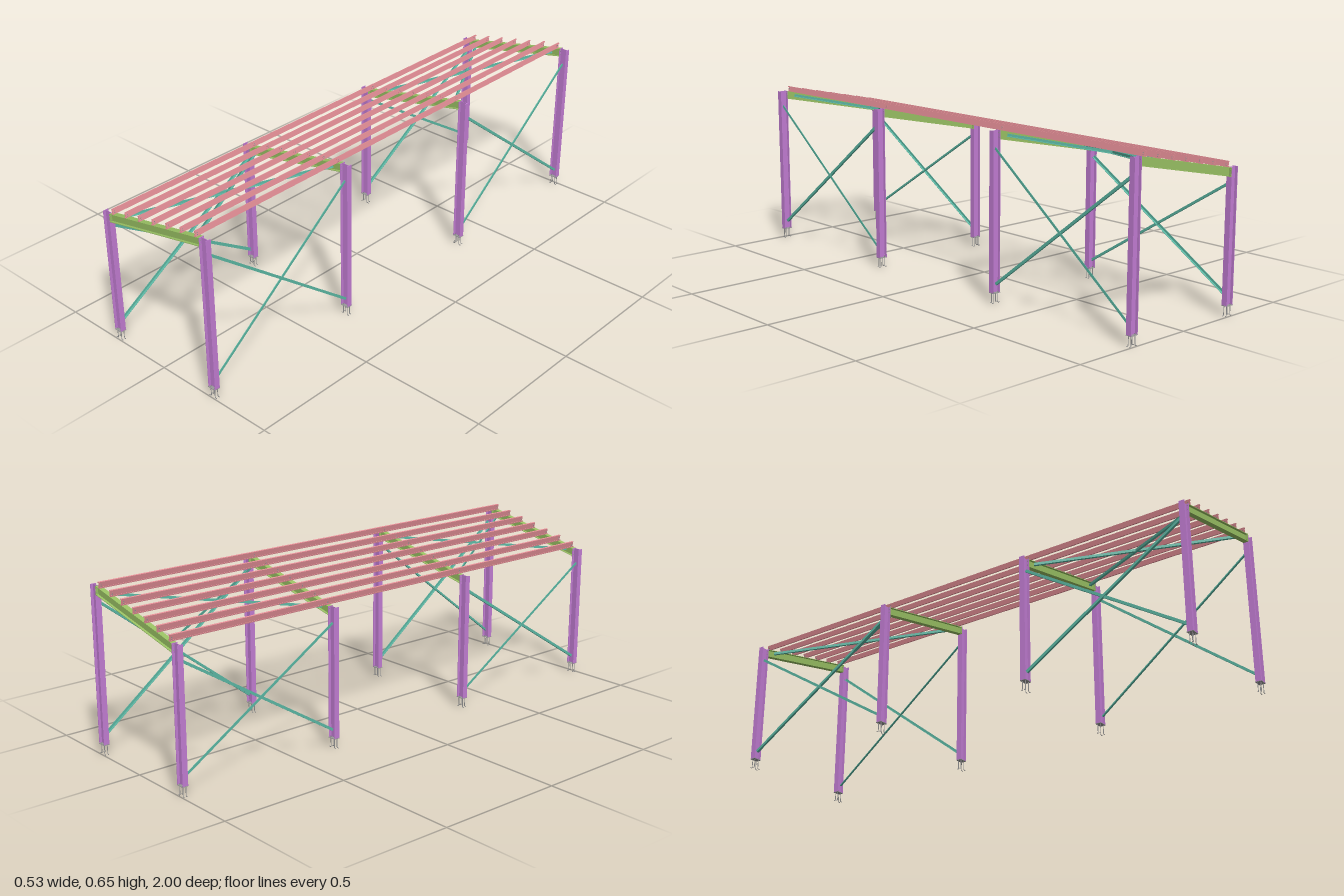
import * as THREE from 'three';

const mat = (color) => new THREE.MeshStandardMaterial({ color });
const SLOPE = 0.212;
const FRAMES = [-0.988, -0.329, 0.329, 0.988];
const roofTop = (x) => 0.580 + SLOPE * x;

const polygon = (pts) => new THREE.Shape(pts.map(([x, y]) => new THREE.Vector2(x, y)));

// I-section with its depth along x, centred on the origin
function iSection(depth, width, flange, web) {
  const d = depth / 2, w = width / 2, t = web / 2, i = d - flange;
  return polygon([[-d, -w], [-i, -w], [-i, -t], [i, -t], [i, -w], [d, -w],
    [d, w], [i, w], [i, t], [-i, t], [-i, w], [-d, w]]);
}

const prism = (shape, length) =>
  new THREE.ExtrudeGeometry(shape, { depth: length, bevelEnabled: false, steps: 1 });

export function createModel() {
  const model = new THREE.Group();
  const purple = mat(0xc37dd4), green = mat(0x9ac264), red = mat(0xe58f97);
  const teal = mat(0x5cb8a4), grey = mat(0x999999);

  const add = (parent, name, geometry, material, x = 0, y = 0, z = 0) => {
    const mesh = new THREE.Mesh(geometry, material);
    mesh.name = name;
    mesh.position.set(x, y, z);
    parent.add(mesh);
    return mesh;
  };

  // Hooked anchor bolt, foot pointing to +x
  const hook = new THREE.CurvePath();
  const v = (x, y) => new THREE.Vector3(x, y, 0);
  hook.add(new THREE.LineCurve3(v(0, 0.045), v(0, 0.006)));
  hook.add(new THREE.QuadraticBezierCurve3(v(0, 0.006), v(0, 0.0015), v(0.003, 0.0015)));
  hook.add(new THREE.LineCurve3(v(0.003, 0.0015), v(0.009, 0.0015)));
  const anchorGeo = new THREE.TubeGeometry(hook, 24, 0.0015, 6);
  const nutGeo = new THREE.CylinderGeometry(0.0025, 0.0025, 0.002, 6);
  const boltGeo = new THREE.CylinderGeometry(0.0015, 0.0015, 0.008, 6).rotateZ(Math.PI / 2);
  const plateGeo = new THREE.BoxGeometry(0.034, 0.002, 0.024);
  const endPlateGeo = new THREE.BoxGeometry(0.002, 0.033, 0.021);

  // Rafter, sheared so that its ends stay vertical
  const rafterGeo = prism(iSection(0.032, 0.020, 0.002, 0.0015), 0.462)
    .translate(0, 0, -0.231).rotateZ(Math.PI / 2).rotateY(Math.PI / 2)
    .applyMatrix4(new THREE.Matrix4().makeShear(SLOPE, 0, 0, 0, 0, 0));
  rafterGeo.computeVertexNormals();

  for (const z of FRAMES) {
    const frame = new THREE.Group();
    frame.name = 'portalFrame';
    frame.position.z = z;
    model.add(frame);
    add(frame, 'rafter', rafterGeo, green, 0, roofTop(0) - 0.016, 0);

    for (const side of [-1, 1]) {
      const x = side * 0.2475, top = side < 0 ? 0.532 : 0.630;
      const column = prism(iSection(0.033, 0.022, 0.002, 0.0015), top - 0.04).rotateX(-Math.PI / 2);
      add(frame, 'column', column, purple, x, 0.04, 0);
      add(frame, 'basePlate', plateGeo, grey, x, 0.039, 0);

      // Bolted joint between rafter and column
      const jointY = roofTop(side * 0.231) - 0.016;
      add(frame, 'endPlate', endPlateGeo, green, side * 0.23, jointY, 0);
      for (const dy of [-0.008, 0.008]) for (const dz of [-0.006, 0.006]) {
        add(frame, 'jointBolt', boltGeo, grey, side * 0.231, jointY + dy, dz);
      }

      // Four anchors with feet pointing outwards
      for (const sx of [-1, 1]) for (const dz of [-0.006, 0.006]) {
        const ax = x + sx * 0.0095;
        const anchor = add(frame, 'anchorBolt', anchorGeo, grey, ax, 0, dz);
        if (sx < 0) anchor.rotation.y = Math.PI;
        add(frame, 'anchorNut', nutGeo, grey, ax, 0.041, dz);
      }
    }
  }

  // Lipped Z-shaped purlins standing square to the roof slope, bolted to cleats
  const purlinGeo = prism(polygon([[-0.006, 0], [0.0007, 0], [0.0007, 0.0202], [0.0046, 0.0202],
    [0.0046, 0.0175], [0.006, 0.0175], [0.006, 0.0216], [-0.0007, 0.0216], [-0.0007, 0.0014],
    [-0.0046, 0.0014], [-0.0046, 0.0041], [-0.006, 0.0041]]), 1.994);
  const cleatGeo = new THREE.BoxGeometry(0.0012, 0.016, 0.014);
  for (let i = 0; i < 7; i++) {
    const x = -0.213 + i * 0.071;
    const purlin = add(model, 'purlin', purlinGeo, red, x, roofTop(x), -0.997);
    purlin.rotation.z = Math.atan(SLOPE);
    for (const z of FRAMES) {
      add(purlin, 'purlinCleat', cleatGeo, red, 0.0013, 0.008, z + 0.997);
      for (const y of [0.006, 0.012]) {
        add(purlin, 'cleatBolt', boltGeo, grey, 0, y, z + 0.997);
      }
    }
  }

  // Angle-section braces running from one point to another
  const angle = polygon([[-0.0045, -0.005], [0.0045, -0.005], [0.0045, -0.0036],
    [-0.0031, -0.0036], [-0.0031, 0.005], [-0.0045, 0.005]]);
  const brace = (name, a, b) => {
    const from = new THREE.Vector3(...a), to = new THREE.Vector3(...b);
    add(model, name, prism(angle, from.distanceTo(to)), teal, ...a).lookAt(to);
  };
  for (const [z0, z1] of [[-0.98, -0.337], [0.337, 0.98]]) {
    // Crossed braces in both long walls, upright leg outwards
    for (const [side, top] of [[-1, 0.475], [1, 0.568]]) {
      const x = side * 0.248;
      const [start, end] = side < 0 ? [z0, z1] : [z1, z0];
      brace('wallBrace', [x - 0.001, 0.072, start], [x - 0.001, top, end]);
      brace('wallBrace', [x + 0.001, top, start], [x + 0.001, 0.072, end]);
    }
    // Crossed braces in the roof plane
    const low = roofTop(-0.195) - 0.014, high = roofTop(0.195) - 0.014;
    brace('roofBrace', [-0.195, low, z0], [0.195, high, z1]);
    brace('roofBrace', [0.195, high, z0], [-0.195, low, z1]);
  }
  return model;
}
